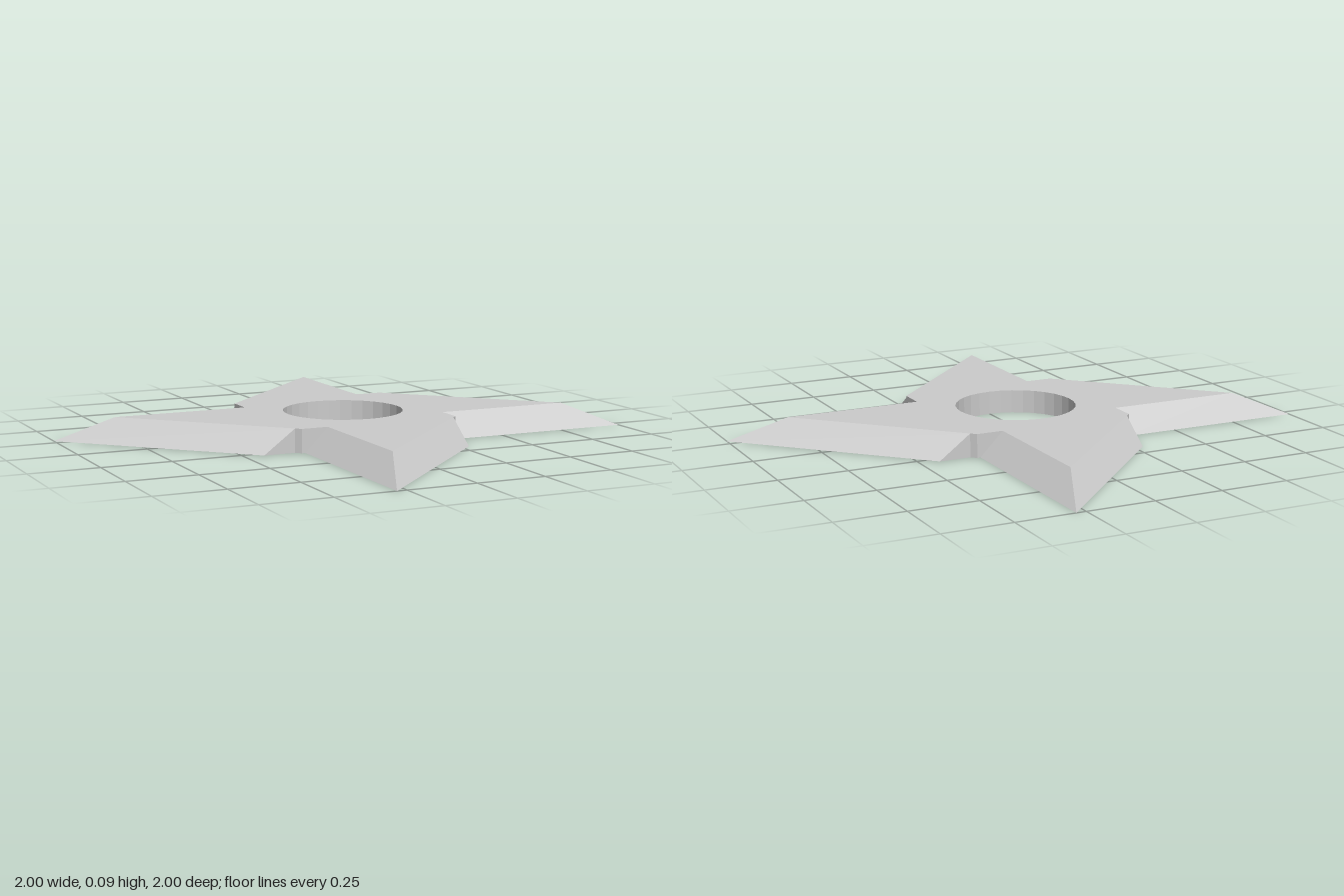
import * as THREE from 'three';

const HEIGHT = 0.085;
const HOLE_RADIUS = 0.218;

// One blade's outline as [x, z]: tip, heel and the notch before the next blade
const lowerBlade = [[0.285, -1], [-0.285, -0.43], [-0.285, -0.315], [-0.303, -0.297], [-0.303, -0.285]];
const upperBlade = [[0.2, -0.8], [-0.285, -0.315], [-0.285, -0.315], [-0.303, -0.297], [-0.303, -0.2]];

// Repeat a blade four times, a quarter turn each
function fourBlades(points) {
  const loop = [];
  let blade = points;
  for (let i = 0; i < 4; i++) {
    loop.push(...blade);
    blade = blade.map(([x, z]) => [z, -x]);
  }
  return loop;
}

// Wall of quads between a lower and an upper loop
function wall(lower, upper) {
  const positions = [];
  lower.forEach((a, i) => {
    const j = (i + 1) % lower.length;
    const p = [a[0], 0, a[1]];
    const q = [lower[j][0], 0, lower[j][1]];
    const r = [upper[j][0], HEIGHT, upper[j][1]];
    const s = [upper[i][0], HEIGHT, upper[i][1]];
    positions.push(...p, ...q, ...r);
    if (upper[i] !== upper[j]) positions.push(...p, ...r, ...s);
  });
  const geometry = new THREE.BufferGeometry();
  geometry.setAttribute('position', new THREE.Float32BufferAttribute(positions, 3));
  geometry.computeVertexNormals();
  return geometry;
}

// Flat face with the hole cut out; side is 1 facing up, -1 facing down
function face(loop, hole, side) {
  const toPoints = (pts) => pts.map(([x, z]) => new THREE.Vector2(x, -side * z));
  const unique = loop.filter(([x, z], i) => i === 0 || x !== loop[i - 1][0] || z !== loop[i - 1][1]);
  const shape = new THREE.Shape(toPoints(unique));
  shape.holes.push(new THREE.Path(toPoints(hole)));
  return new THREE.ShapeGeometry(shape).rotateX(-side * Math.PI / 2);
}

export function createModel() {
  const group = new THREE.Group();
  group.name = 'throwingStar';
  const material = new THREE.MeshStandardMaterial({ color: 0xcccccc, flatShading: true });

  const lower = fourBlades(lowerBlade);
  const upper = fourBlades(upperBlade);
  const hole = Array.from({ length: 32 }, (_, i) => {
    const angle = (i / 32) * Math.PI * 2;
    return [HOLE_RADIUS * Math.cos(angle), HOLE_RADIUS * Math.sin(angle)];
  });

  const add = (name, geometry) => {
    const mesh = new THREE.Mesh(geometry, material);
    mesh.name = name;
    group.add(mesh);
    return mesh;
  };

  add('topFace', face(upper, hole, 1)).position.y = HEIGHT;
  add('bottomFace', face(lower, hole, -1));
  add('bladeBevels', wall(lower, upper));
  add('centreHole', wall(hole, hole)); // runs the other way round, so it faces inward
  return group;
}
